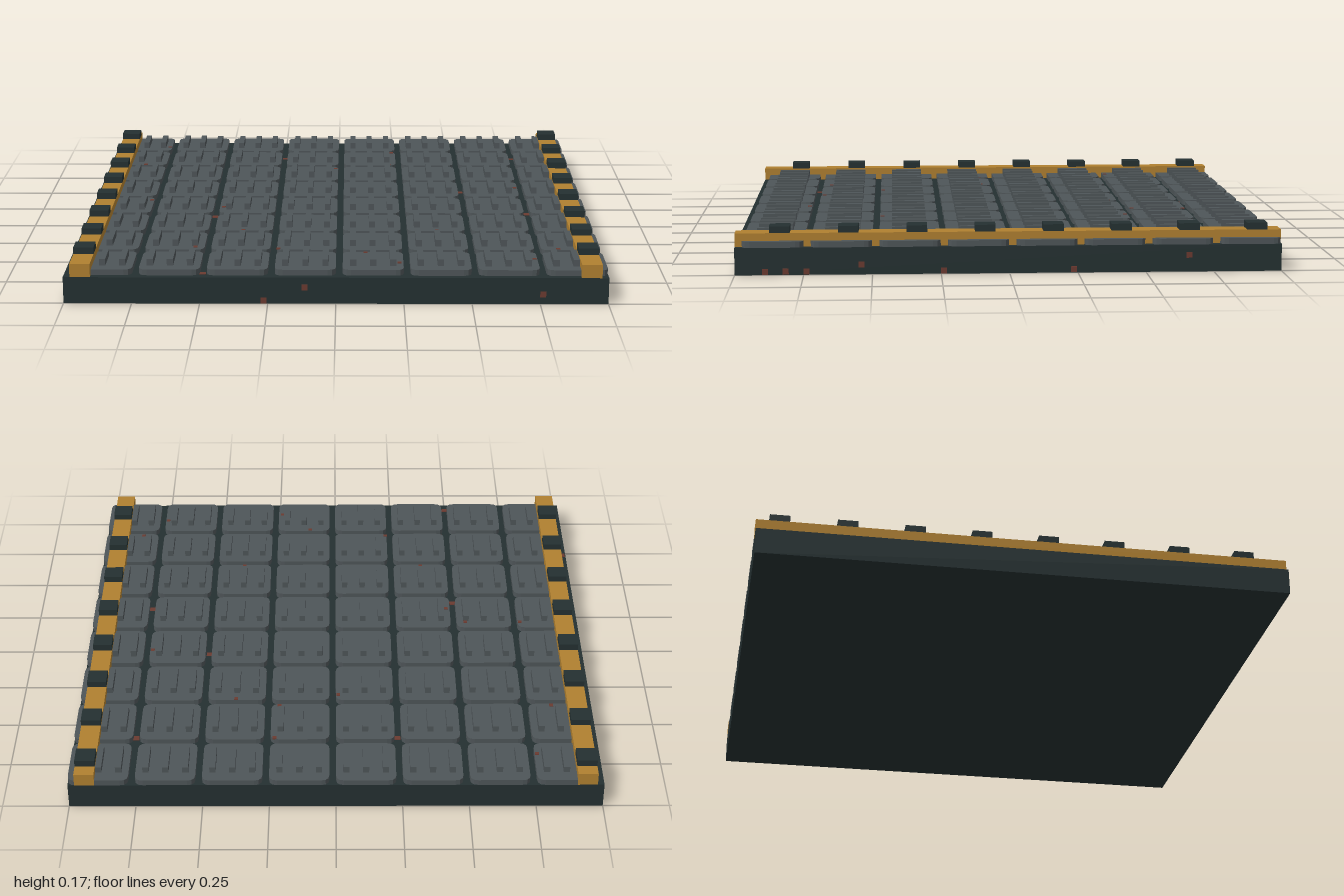
import * as THREE from 'three';

const material = (name, color) => new THREE.MeshStandardMaterial({ name, color });

export function createModel() {
  const dark = material('darkSteel', 0x243031);
  const grey = material('greyPlate', 0x4e5558);
  const amber = material('amberPaint', 0xb08030);
  const rust = material('rust', 0x6b3a30);
  const model = new THREE.Group();
  model.name = 'floorTile';

  function add(name, geometry, mat, x, y, z, parent = model) {
    const mesh = new THREE.Mesh(geometry, mat);
    mesh.name = name;
    mesh.position.set(x, y, z);
    parent.add(mesh);
  }
  const box = (w, h, d) => new THREE.BoxGeometry(w, h, d);

  // Rounded plate lying flat, its underside at y = 0
  function plate(w, d, h, r) {
    const x = w / 2, y = d / 2;
    const s = new THREE.Shape();
    s.moveTo(-x + r, -y);
    s.lineTo(x - r, -y).quadraticCurveTo(x, -y, x, -y + r);
    s.lineTo(x, y - r).quadraticCurveTo(x, y, x - r, y);
    s.lineTo(-x + r, y).quadraticCurveTo(-x, y, -x, y - r);
    s.lineTo(-x, -y + r).quadraticCurveTo(-x, -y, -x + r, -y);
    return new THREE.ExtrudeGeometry(s, { depth: h, bevelEnabled: false, curveSegments: 3 }).rotateX(-Math.PI / 2);
  }

  // Slab
  add('baseSlab', box(2, 0.1, 2), dark, 0, 0.05, 0);

  // Eight by eight tread plates, three ribs on each
  const tread = plate(0.225, 0.225, 0.022, 0.03);
  const edgeTread = plate(0.22, 0.225, 0.022, 0.03);
  const rib = box(0.023, 0.025, 0.13);
  for (let i = 0; i < 8; i++) {
    for (let j = 0; j < 8; j++) {
      const x = -0.8625 + i * 0.25, z = -0.8875 + j * 0.25;
      const panel = new THREE.Group();
      panel.name = 'treadPanel';
      panel.position.set(x, 0.1, z);
      model.add(panel);
      add('treadPlate', i === 0 ? edgeTread : tread, grey, i === 0 ? 0.0025 : 0, 0, 0, panel);
      for (const dx of [-0.074, 0, 0.074]) {
        if (Math.abs(x + dx) < 0.9) add('treadRib', rib, grey, dx, 0.0345, 0, panel);
      }
    }
  }

  // Edge rails with dark blocks
  for (const side of [-1, 1]) {
    const x = side * 0.9375;
    add(side > 0 ? 'leftRail' : 'rightRail', box(0.075, 0.05, 2), amber, x, 0.125, 0);
    for (let j = 0; j < 8; j++) {
      add('railBlock', box(0.075, 0.025, 0.075), dark, x, 0.1625, -0.9125 + j * 0.25);
    }
  }

  // Rust specks on the top: x, z
  const topSpecks = [
    [-0.76, -0.84], [-0.235, -0.715], [-0.09, -0.76], [0.235, -0.74], [0.765, -0.715],
    [0.22, -0.535], [0.39, -0.49], [-0.84, -0.535], [-0.01, -0.465], [0.51, -0.16],
    [0.74, -0.16], [-0.76, 0.04], [-0.535, 0.04], [-0.46, 0.14], [-0.49, 0.21],
    [0.765, 0.165], [-0.61, 0.41], [-0.365, 0.465], [0.39, 0.465], [-0.985, 0.58],
    [-0.535, 0.69], [-0.46, 0.74], [-0.22, 0.71], [0.11, 0.76], [0.84, 0.71],
    [-0.49, 0.955], [0.235, 0.885], [0.74, 0.835],
  ];
  const onPlate = (v, start) => ((v - start + 4) % 0.25) < 0.225;
  for (const [x, z] of topSpecks) {
    const raised = x > -0.97 && onPlate(x, -0.975) && onPlate(z, -1);
    const size = raised ? 0.015 : 0.024;
    add('rustSpeck', box(size, 0.004, size), rust, x, raised ? 0.122 : 0.1, z);
  }

  // Rust specks on the front and left faces
  for (const [x, y] of [[-0.265, 0.012], [-0.115, 0.062], [0.76, 0.037]]) {
    add('rustSpeck', box(0.022, 0.022, 0.002), rust, x, y, 1);
  }
  const sideSpecks = [
    [0.89, 0.012], [0.815, 0.012], [0.74, 0.012], [0.54, 0.037],
    [0.24, 0.012], [-0.235, 0.012], [-0.66, 0.062],
  ];
  for (const [z, y] of sideSpecks) add('rustSpeck', box(0.002, 0.022, 0.022), rust, 1, y, z);

  return model;
}
